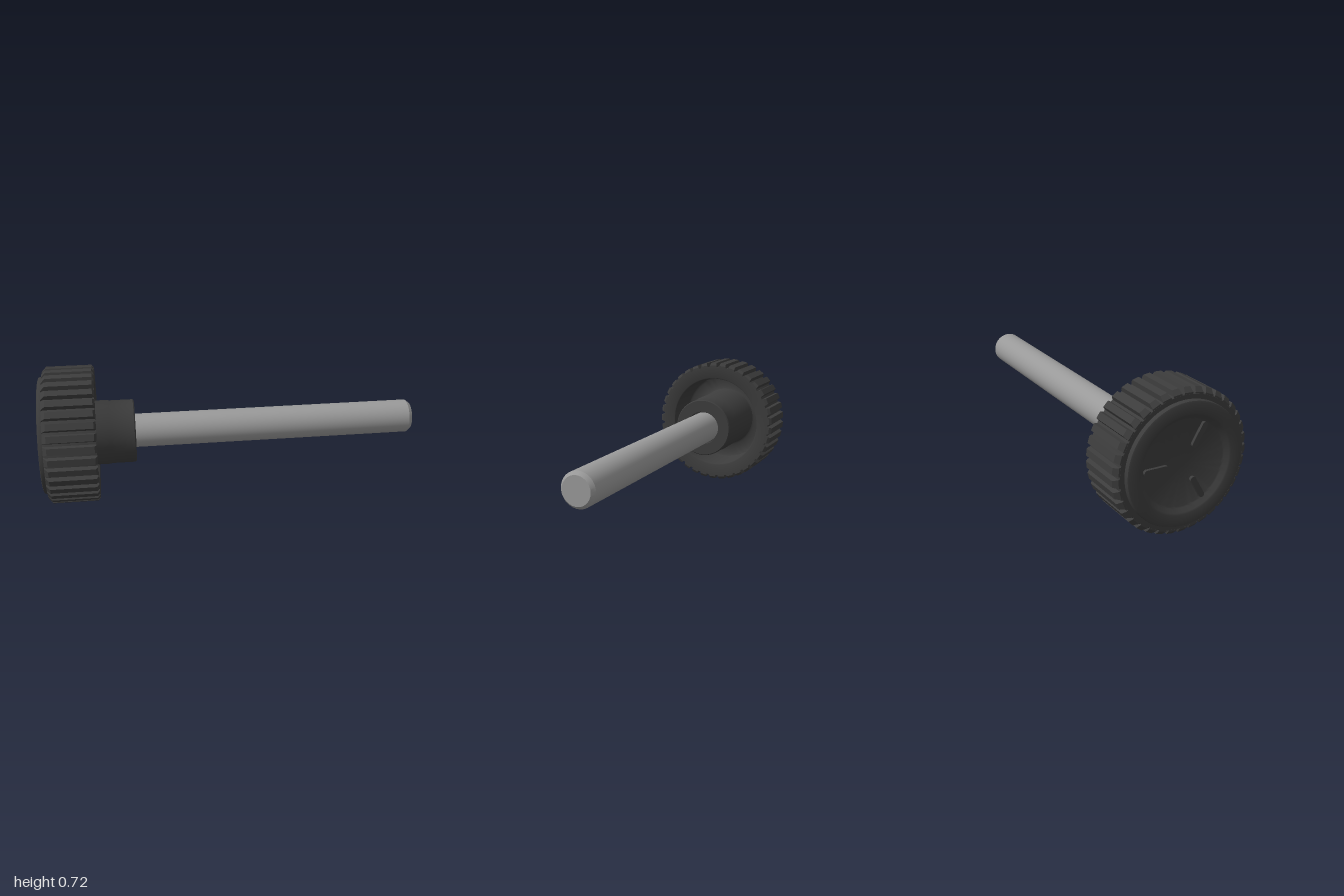
import * as THREE from 'three';
import { mergeGeometries, toCreasedNormals } from 'three/addons/utils/BufferGeometryUtils.js';

const TEETH = 37;
const AXIS_Y = 0.36;

// Surface of revolution about the x axis, from [radius, x] pairs
function turned(profile, segments) {
  const points = profile.map(([r, x]) => new THREE.Vector2(r, x));
  const geometry = new THREE.LatheGeometry(points, segments);
  geometry.rotateZ(-Math.PI / 2);
  return toCreasedNormals(geometry, Math.PI / 5);
}

// One grip tooth: chamfered side profile, narrowing towards its tip
function toothGeometry() {
  const shape = new THREE.Shape([
    [-0.975, 0.33], [-0.71, 0.33], [-0.71, 0.346], [-0.72, 0.36],
    [-0.955, 0.36], [-0.975, 0.338],
  ].map(([x, r]) => new THREE.Vector2(x, r)));
  const geometry = new THREE.ExtrudeGeometry(shape, { depth: 1, bevelEnabled: false });
  geometry.translate(0, 0, -0.5);
  const p = geometry.attributes.position;
  for (let i = 0; i < p.count; i++) {
    const width = THREE.MathUtils.mapLinear(p.getY(i), 0.337, 0.36, 0.044, 0.034);
    p.setZ(i, p.getZ(i) * width);
  }
  geometry.computeVertexNormals();
  return geometry;
}

// Short radial rib with a rounded outline, standing in the rear recess
function ribGeometry() {
  const inner = 0.1, outer = 0.2, half = 0.014;
  const shape = new THREE.Shape();
  shape.absarc(0, outer, half, 0, Math.PI);
  shape.absarc(0, inner, half, Math.PI, Math.PI * 2);
  const geometry = new THREE.ExtrudeGeometry(shape, {
    depth: 0.02, bevelEnabled: false, curveSegments: 8,
  });
  geometry.rotateY(-Math.PI / 2);
  geometry.translate(-0.97, 0, 0);
  return geometry;
}

// Copies of a geometry spaced evenly around the x axis, the first towards `start`
function ring(geometry, count, start) {
  const copies = [];
  for (let i = 0; i < count; i++) {
    copies.push(geometry.clone().rotateX(start + (i * Math.PI * 2) / count));
  }
  return mergeGeometries(copies);
}

export function createModel() {
  const model = new THREE.Group();
  model.name = 'thumbScrew';
  const plastic = new THREE.MeshStandardMaterial({ color: 0x3c3c3c });
  const steel = new THREE.MeshStandardMaterial({ color: 0x999999 });

  const add = (name, geometry, material) => {
    const mesh = new THREE.Mesh(geometry, material);
    mesh.name = name;
    mesh.position.y = AXIS_Y;
    model.add(mesh);
  };

  // Knob: recessed rear disc, raised lip, grip wall, front cup and central hub
  add('knobBody', turned([
    [0, -0.975], [0.215, -0.975], [0.222, -0.978], [0.238, -0.996], [0.247, -1],
    [0.297, -1], [0.305, -0.997], [0.308, -0.99], [0.308, -0.975],
    [0.33, -0.975], [0.337, -0.965], [0.337, -0.71],
    [0.272, -0.71], [0.267, -0.713], [0.265, -0.72], [0.262, -0.9], [0.258, -0.912], [0.248, -0.918],
    [0.186, -0.918], [0.175, -0.912], [0.17, -0.9], [0.17, -0.645],
    [0.167, -0.64], [0.167, -0.516], [0.162, -0.51],
    [0.097, -0.51], [0.094, -0.53], [0.08, -0.53],
  ], TEETH * 2), plastic);

  add('gripTeeth', ring(toothGeometry(), TEETH, Math.PI / 2), plastic);

  // Three ribs, one of them pointing to the back
  add('rearRibs', ring(ribGeometry(), 3, -Math.PI / 2), plastic);

  // Plain rod with a chamfered tip
  add('rod', turned([
    [0, -0.6], [0.089, -0.6], [0.089, 0.98], [0.073, 1], [0, 1],
  ], 48), steel);

  return model;
}
